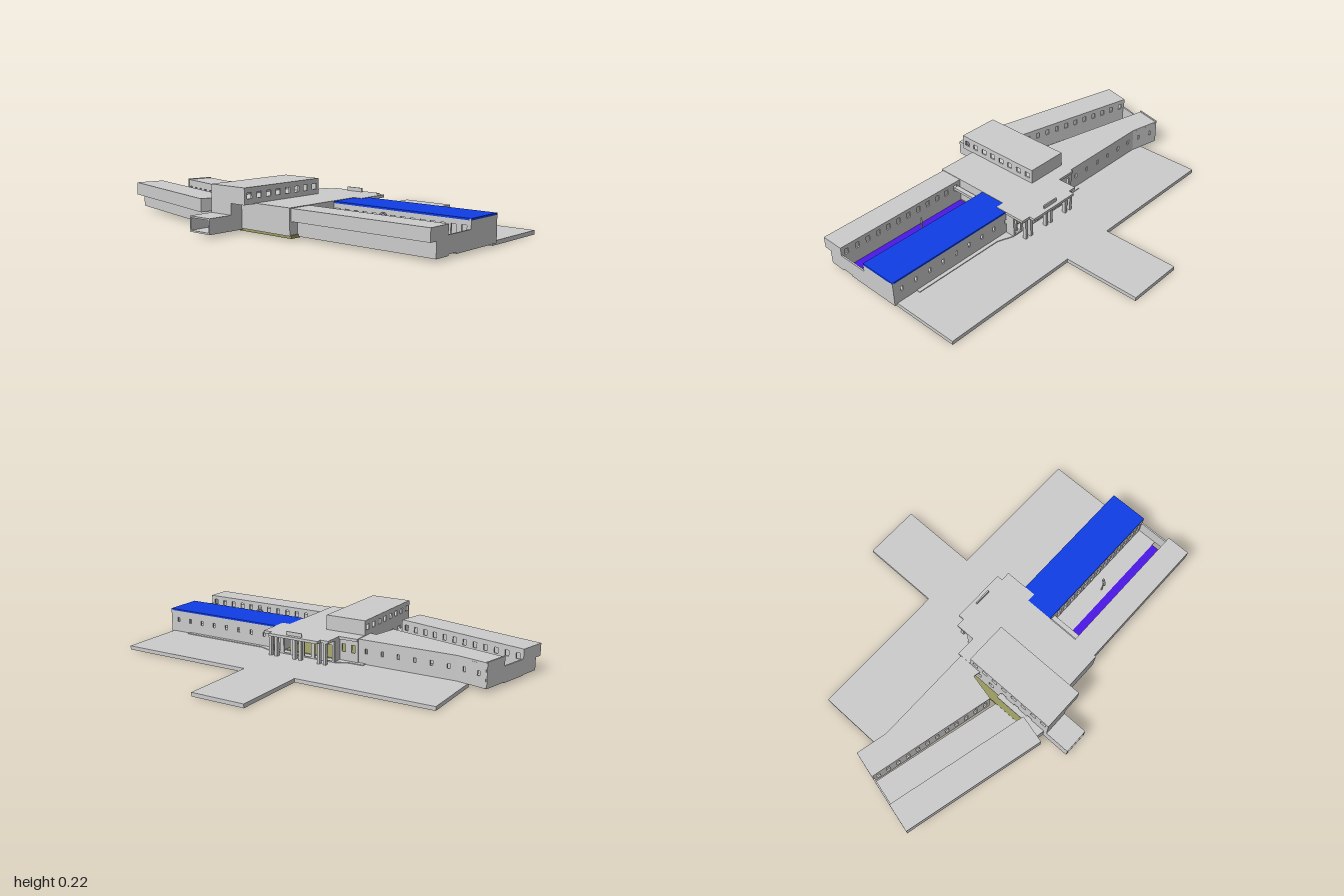
import * as THREE from 'three';

const T = 0.008; // wall thickness
const BLUE = 0x0f3de6, PURPLE = 0x4a18e6, OLIVE = 0x999960;

function add(parent, name, geo, color = 0xcccccc) {
  const mesh = new THREE.Mesh(geo, new THREE.MeshStandardMaterial({ color, flatShading: true }));
  mesh.name = name;
  parent.add(mesh);
  return mesh;
}

function box(parent, name, x0, x1, y0, y1, z0, z1, color) {
  const geo = new THREE.BoxGeometry(x1 - x0, y1 - y0, z1 - z0);
  geo.translate((x0 + x1) / 2, (y0 + y1) / 2, (z0 + z1) / 2);
  return add(parent, name, geo, color);
}

// flat plate from an [x, z] outline
function plate(parent, name, pts, y0, y1, color) {
  const shape = new THREE.Shape(pts.map(([x, z]) => new THREE.Vector2(x, -z)));
  const geo = new THREE.ExtrudeGeometry(shape, { depth: y1 - y0, bevelEnabled: false });
  geo.rotateX(-Math.PI / 2).translate(0, y0, 0);
  return add(parent, name, geo, color);
}

function rect(path, x0, y0, x1, y1) {
  return path.moveTo(x0, y0).lineTo(x1, y0).lineTo(x1, y1).lineTo(x0, y1).closePath();
}

// vertical wall from [x, z] to [x, z]; open = { n, w, y0, y1 } cuts a row of openings
function wall(parent, name, a, b, y0, y1, open) {
  const len = Math.hypot(b[0] - a[0], b[1] - a[1]);
  const shape = rect(new THREE.Shape(), 0, y0, len, y1);
  if (open) for (let i = 0; i < open.n; i++) {
    const c = len * (i + 0.5) / open.n;
    shape.holes.push(rect(new THREE.Path(), c - open.w / 2, open.y0, c + open.w / 2, open.y1));
  }
  const geo = new THREE.ExtrudeGeometry(shape, { depth: T, bevelEnabled: false });
  geo.translate(0, 0, -T / 2).rotateY(-Math.atan2(b[1] - a[1], b[0] - a[0]));
  geo.translate(a[0], 0, a[1]);
  return add(parent, name, geo);
}

// front range of a wing, with its upper storey overhanging a recessed base
function frontRange(g, L, depth, top) {
  const base = depth - 0.04;
  box(g, 'frontRangeRoof', 0, L, top - T, top, 0, depth);
  box(g, 'frontRangeUpperWall', 0, L, 0.09, top - T, depth - T, depth);
  box(g, 'frontRangeSoffit', 0, L, 0.085, 0.09 + T / 2, base - T, depth);
  box(g, 'frontRangeBaseWall', 0, L, 0.02, 0.09, base - T, base);
  wall(g, 'frontRangeCourtWall', [0, T / 2], [L, T / 2], 0.02, top - T, { n: 12, w: 0.022, y0: 0.095, y1: 0.125 });
}

// gable wall across a whole wing, notched down at the courtyard
function endWall(g, u, rear, court, depth, top) {
  const base = depth - 0.04;
  const pts = [[rear, 0.02], [base, 0.02], [base, 0.09], [depth, 0.09], [depth, top], [0, top],
    [0, 0.1], [court, 0.1], [court, top], [rear, top]];
  const shape = new THREE.Shape(pts.map(([w, y]) => new THREE.Vector2(-w, y)));
  const geo = new THREE.ExtrudeGeometry(shape, { depth: T, bevelEnabled: false });
  geo.rotateY(Math.PI / 2).translate(u, 0, 0);
  add(g, 'endWall', geo);
}

function grounds(g) {
  box(g, 'terrace', -0.79, 0.985, 0, 0.02, -0.33, 0.04);
  box(g, 'approachPath', -0.055, 0.24, 0, 0.02, -0.74, -0.33);
  box(g, 'hallFloor', -0.24, 0.25, 0.008, 0.024, 0.035, 0.53, OLIVE);
  plate(g, 'rightRamp', [[-0.24, 0.035], [-0.24, 0.01], [-0.16, 0.01], [-0.095, -0.02], [-0.095, 0.035]], 0.02, 0.024);
  plate(g, 'leftRamp', [[0.29, 0.035], [0.29, -0.02], [0.37, 0.01], [0.87, 0.01], [0.87, 0.035]], 0.02, 0.024);
}

function hall(g) {
  plate(g, 'hallRoof', [[-0.095, -0.085], [-0.05, -0.085], [-0.05, -0.115], [0.24, -0.115], [0.24, -0.085],
    [0.29, -0.085], [0.29, 0.09], [0.245, 0.09], [0.245, 0.535], [-0.2, 0.535], [-0.2, 0.02], [-0.095, 0.02]],
  0.134, 0.148);
  wall(g, 'hallRightWall', [-0.196, 0.03], [-0.196, 0.53], 0.02, 0.134, { n: 6, w: 0.03, y0: 0.07, y1: 0.11 });
  wall(g, 'hallLeftWall', [0.241, 0], [0.241, 0.53], 0.02, 0.134);
  wall(g, 'hallFrontWall', [-0.2, 0.531], [0.245, 0.531], 0.02, 0.134);
  wall(g, 'entranceWall', [-0.09, -0.016], [0.285, -0.016], 0.02, 0.134, { n: 6, w: 0.04, y0: 0.026, y1: 0.11 });
  for (const x of [-0.091, 0.281]) wall(g, 'entranceReturn', [x, -0.016], [x, 0.04], 0.02, 0.134);
  wall(g, 'hallBackWall', [-0.2, 0.034], [-0.09, 0.034], 0.02, 0.134, { n: 2, w: 0.02, y0: 0.07, y1: 0.11 });
  // paired columns under the canopy
  for (const x of [-0.07, -0.035, 0.075, 0.11, 0.22, 0.255]) {
    box(g, 'canopyColumn', x - 0.008, x + 0.008, 0.02, 0.134, -0.08, -0.06);
  }
  box(g, 'roofPanel', 0.055, 0.145, 0.148, 0.167, -0.095, -0.088);
}

function upperBlock(g) {
  const x0 = -0.2, x1 = 0.025, z0 = 0.1, z1 = 0.602, y0 = 0.145, y1 = 0.225, h = T / 2;
  box(g, 'upperRoof', x0, x1, y1 - T, y1, z0, z1);
  box(g, 'upperFloor', x0, x1, y0, y0 + T, z0, z1);
  const open = { n: 8, w: 0.03, y0: 0.172, y1: 0.2 };
  for (const x of [x0 + h, x1 - h]) wall(g, 'upperSideWall', [x, z0], [x, z1], y0 + T, y1 - T, open);
  for (const z of [z0 + h, z1 - h]) wall(g, 'upperEndWall', [x0, z], [x1, z], y0 + T, y1 - T);
  box(g, 'frontBay', -0.2, -0.065, 0.088, 0.146, 0.53, 0.602);
}

// open-ended tube leading out of the front
function porch(g) {
  const x0 = -0.2, x1 = -0.065, y0 = 0.015, y1 = 0.09, z0 = 0.49, z1 = 0.735;
  box(g, 'porchFloor', x0, x1, y0, y0 + T, z0, z1);
  box(g, 'porchRoof', x0, x1, y1 - T, y1, z0, z1);
  for (const x of [x0, x1 - T]) box(g, 'porchSide', x, x + T, y0, y1, z0, z1);
}

function leftWing(g) {
  const wing = new THREE.Group();
  wing.name = 'leftWing';
  wing.position.set(0.245, 0, 0.4);
  g.add(wing);
  const L = 0.755, rear = -0.37, court = -0.165, depth = 0.125, top = 0.145;
  frontRange(wing, L, depth, top);
  endWall(wing, L - T, rear, court, depth, top);
  box(wing, 'rearRoof', 0, L, top - T, top + 0.001, rear, court, BLUE);
  wall(wing, 'rearOuterWall', [0, rear + T / 2], [L - T, rear + T / 2], 0.02, top - T, { n: 9, w: 0.014, y0: 0.075, y1: 0.1 });
  wall(wing, 'rearCourtWall', [0, court - T / 2], [L - T, court - T / 2], 0.02, top - T, { n: 14, w: 0.026, y0: 0.03, y1: 0.115 });
  box(wing, 'rearFloor', 0, L, 0.013, 0.02, rear, -0.06);
  box(wing, 'courtStrip', 0, 0.725, 0.013, 0.021, -0.06, 0, PURPLE);
  box(wing, 'frontFloor', 0, L, 0.013, 0.02, 0, depth - 0.04);
  box(wing, 'courtBeam', 0.015, 0.04, 0.1, 0.115, court, 0);
  // small ring sculpture in the courtyard
  const ring = add(wing, 'courtRing', new THREE.TorusGeometry(0.015, 0.005, 6, 16));
  ring.position.set(0.345, 0.12, -0.095);
  ring.rotation.y = 0.9;
  box(wing, 'ringPost', 0.342, 0.348, 0.02, 0.105, -0.098, -0.092);
}

function rightWing(g) {
  // skewed front range and courtyard
  const wing = new THREE.Group();
  wing.name = 'rightWing';
  wing.position.set(-0.965, 0, 0.285);
  wing.rotation.y = -0.245;
  g.add(wing);
  const L = 0.763, depth = 0.149, top = 0.15, court = -0.155;
  frontRange(wing, L, depth, top);
  endWall(wing, 0, -0.294, court, depth, top);
  box(wing, 'frontRangeEnd', L - T, L, 0.09, top - T, 0, depth - T);
  box(wing, 'frontRangeEndBase', L - T, L, 0.02, 0.09, 0, depth - 0.04);
  box(wing, 'courtFloor', 0, L, 0.016, 0.022, court, 0);

  // rear range, bending back in line with the hall
  plate(g, 'rearRangeRoof', [[-0.89, 0], [-0.73, 0.036], [-0.2, 0.036], [-0.2, 0.163], [-0.235, 0.155],
    [-0.265, 0.29], [-0.925, 0.132]], 0.137, 0.146);
  const open = { n: 6, w: 0.014, y0: 0.075, y1: 0.1 };
  wall(g, 'rearOuterWallBend', [-0.888, 0.004], [-0.73, 0.04], 0.02, 0.137, { ...open, n: 2 });
  wall(g, 'rearOuterWall', [-0.73, 0.04], [-0.2, 0.04], 0.02, 0.137, open);
  wall(g, 'rearCourtWall', [-0.923, 0.128], [-0.266, 0.286], 0.02, 0.137, { n: 12, w: 0.02, y0: 0.05, y1: 0.11 });
  wall(g, 'rearRangeEnd', [-0.268, 0.286], [-0.238, 0.155], 0.02, 0.137);

  // low link to the hall
  plate(g, 'linkRoof', [[-0.225, 0.3], [-0.195, 0.3], [-0.195, 0.585], [-0.25, 0.575], [-0.225, 0.47]], 0.08, 0.09);
  wall(g, 'linkFront', [-0.25, 0.57], [-0.2, 0.581], 0.02, 0.08);
}

export function createModel() {
  const model = new THREE.Group();
  model.name = 'building';
  for (const build of [grounds, hall, upperBlock, porch, leftWing, rightWing]) {
    const part = new THREE.Group();
    part.name = build.name;
    build(part);
    model.add(part);
  }
  return model;
}
